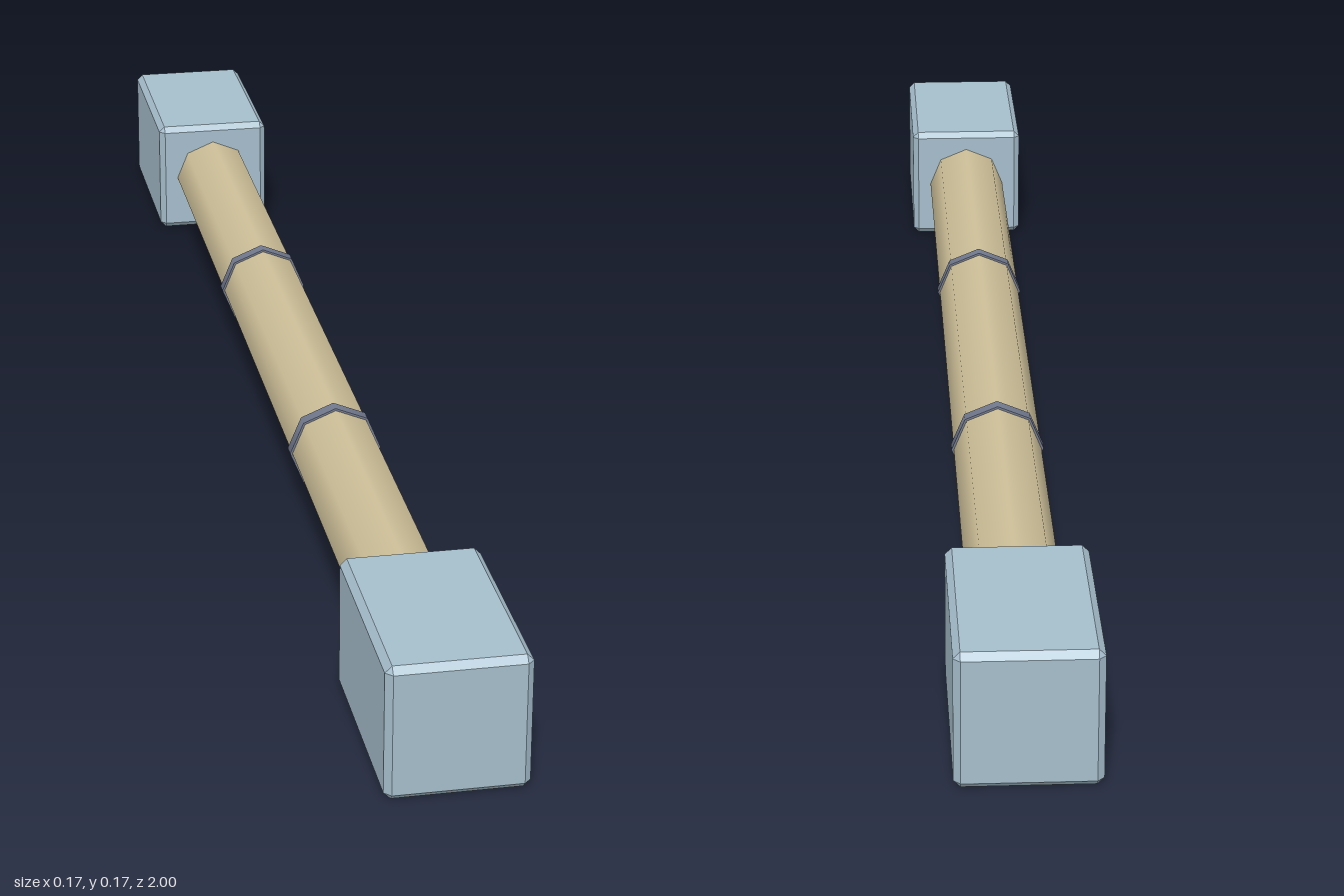
import * as THREE from 'three';
import { ConvexGeometry } from 'three/addons/geometries/ConvexGeometry.js';

const block = new THREE.MeshStandardMaterial({ color: 0xa5bdcb });
block.name = 'pale blue';
const wood = new THREE.MeshStandardMaterial({ color: 0xcdbf98 });
wood.name = 'tan';
const band = new THREE.MeshStandardMaterial({ color: 0x727a8e });
band.name = 'slate';

const CENTRE_Y = 0.0825;

// Box with every edge and corner chamfered flat
function chamferedBox(w, h, d, c) {
  const points = [];
  for (const sx of [-1, 1]) for (const sy of [-1, 1]) for (const sz of [-1, 1]) {
    for (let axis = 0; axis < 3; axis++) {
      const half = [w / 2, h / 2, d / 2].map((v, i) => (i === axis ? v : v - c));
      points.push(new THREE.Vector3(sx * half[0], sy * half[1], sz * half[2]));
    }
  }
  return new ConvexGeometry(points);
}

// Eight-sided rod lying along z
function rod(radius, length) {
  return new THREE.CylinderGeometry(radius, radius, length, 8).rotateX(Math.PI / 2);
}

export function createModel() {
  const model = new THREE.Group();
  model.name = 'barWithEndBlocks';

  const add = (name, geometry, material, z) => {
    const mesh = new THREE.Mesh(geometry, material);
    mesh.name = name;
    mesh.position.set(0, CENTRE_Y, z);
    model.add(mesh);
  };

  // Long bar between the blocks
  add('bar', rod(0.056, 1.5), wood, 0);

  // Matching end blocks and bands
  const blockGeometry = chamferedBox(0.165, 0.165, 0.27, 0.008);
  const bandGeometry = rod(0.059, 0.018);
  for (const [side, s] of [['front', 1], ['back', -1]]) {
    add(side + 'Block', blockGeometry, block, s * 0.865);
    add(side + 'Band', bandGeometry, band, s * 0.275);
  }
  return model;
}
